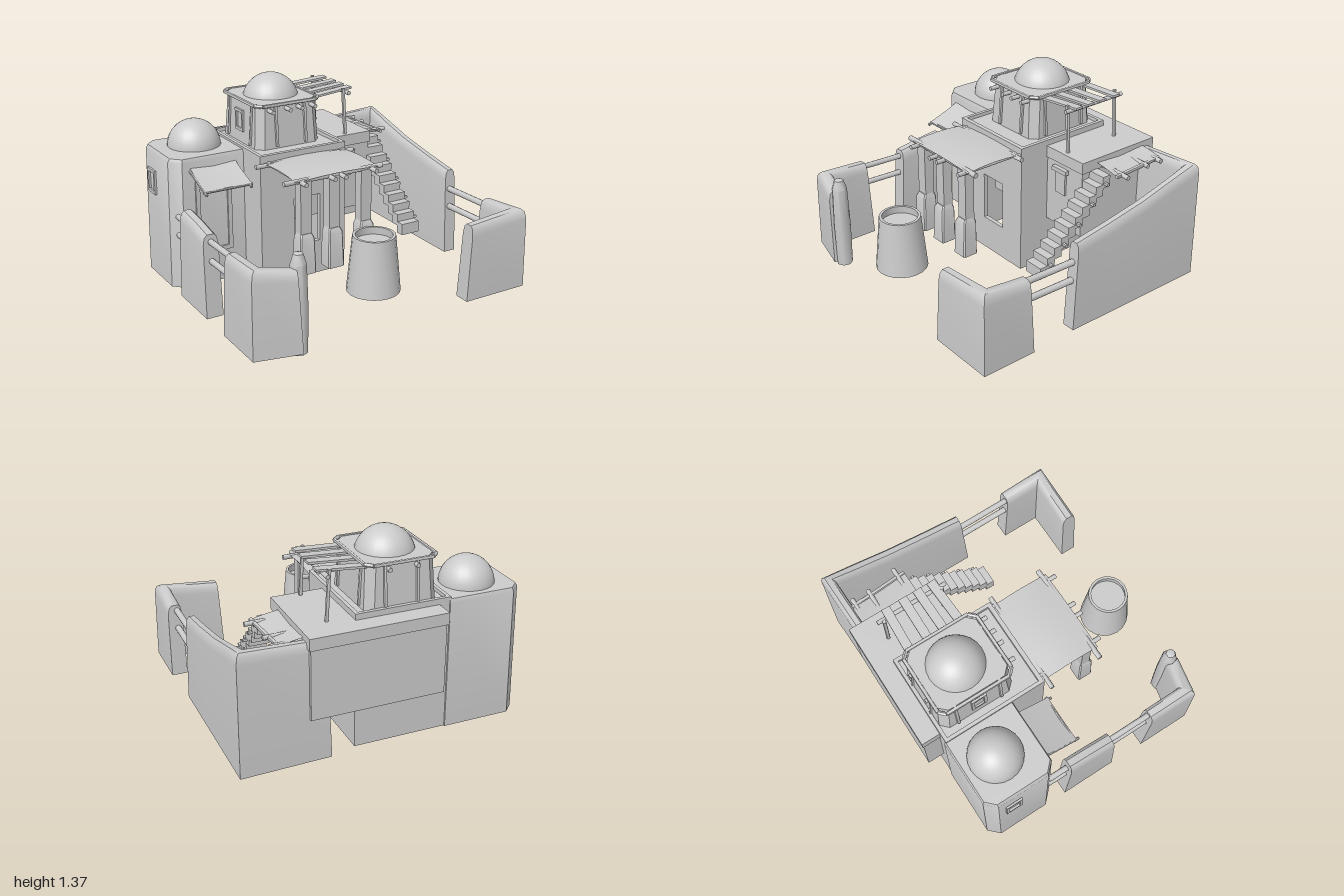
import * as THREE from 'three';
import { toCreasedNormals } from 'three/addons/utils/BufferGeometryUtils.js';

const mat = new THREE.MeshStandardMaterial({ color: 0xcccccc, side: THREE.DoubleSide });
const V = (x, y, z) => new THREE.Vector3(x, y, z);

export function createModel() {
  const root = new THREE.Group();
  const add = (name, geo, x = 0, y = 0, z = 0) => {
    const m = new THREE.Mesh(geo, mat);
    m.name = name;
    m.position.set(x, y, z);
    root.add(m);
    return m;
  };
  // Box from its minimum and maximum on each axis
  const box = (name, x0, x1, y0, y1, z0, z1) =>
    add(name, new THREE.BoxGeometry(x1 - x0, y1 - y0, z1 - z0), (x0 + x1) / 2, (y0 + y1) / 2, (z0 + z1) / 2);
  // Round log between two points
  const log = (name, a, b, r = 0.014, sides = 8) => {
    const d = b.clone().sub(a), mid = a.clone().add(b).multiplyScalar(0.5);
    const geo = toCreasedNormals(new THREE.CylinderGeometry(r, r, d.length(), sides), 0.9);
    const m = add(name, geo, mid.x, mid.y, mid.z);
    m.quaternion.setFromUnitVectors(V(0, 1, 0), d.normalize());
    return m;
  };
  // Skin between successive rings of points
  const loft = (rings, closed, capStart, capEnd, crease = 0.6) => {
    const p = [], tri = (...v) => v.forEach(q => p.push(q.x, q.y, q.z));
    const n = rings[0].length;
    for (let i = 0; i < rings.length - 1; i++) {
      for (let j = 0; j < (closed ? n : n - 1); j++) {
        const k = (j + 1) % n, A = rings[i], B = rings[i + 1];
        tri(A[j], B[k], A[k]);
        tri(A[j], B[j], B[k]);
      }
    }
    const last = rings[rings.length - 1];
    for (let j = 1; j < n - 1; j++) {
      if (capStart) tri(rings[0][0], rings[0][j], rings[0][j + 1]);
      if (capEnd) tri(last[0], last[j + 1], last[j]);
    }
    const g = new THREE.BufferGeometry();
    g.setAttribute('position', new THREE.Float32BufferAttribute(p, 3));
    return toCreasedNormals(g, crease);
  };
  // Rectangular ring with cut corners at one height
  const ring = (x0, x1, z0, z1, y, c, cr = c) => [
    [x0 + c, z0], [x1 - cr, z0], [x1, z0 + cr], [x1, z1 - cr],
    [x1 - cr, z1], [x0 + c, z1], [x0, z1 - c], [x0, z0 + c],
  ].map(([x, z]) => V(x, y, z));
  // Hollow clay wall along a path of [x, z, height], open below
  const wall = (name, path, w, y0) => {
    const pts = path.map(([x, z]) => new THREE.Vector2(x, z));
    const rings = path.map(([x, z, h], i) => {
      const d0 = i ? pts[i].clone().sub(pts[i - 1]).normalize() : null;
      const d1 = i < pts.length - 1 ? pts[i + 1].clone().sub(pts[i]).normalize() : null;
      const t = (d0 || d1).clone().add(d1 || d0).normalize();
      const k = 1 / Math.max(0.5, t.dot(d0 || d1));
      const lean = !d0 ? 0.03 : !d1 ? -0.03 : 0;
      return [[-1, y0], [-0.9, h - 0.07], [-0.75, h - 0.02], [-0.4, h], [0.4, h], [0.75, h - 0.02], [0.9, h - 0.07], [1, y0]]
        .map(([s, y]) => {
          const f = lean * (y - y0) / (h - y0);
          return V(x - t.y * s * w * k + t.x * f, y, z + t.x * s * w * k + t.y * f);
        });
    });
    return add(name, loft(rings, false, true, true, 0.75), 0, 0, 0);
  };
  const dome = (name, r, x, y, z) =>
    add(name, new THREE.SphereGeometry(r, 24, 12, 0, Math.PI * 2, 0, Math.PI / 2), x, y, z);
  // Window or door frame around an inset panel, facing +z
  const frame = (name, w, h, t) => {
    const s = new THREE.Shape([[-w, -h], [w, -h], [w, h], [-w, h]].map(([x, y]) => new THREE.Vector2(x / 2, y / 2)));
    const iw = w - t * 2, ih = h - t * 2;
    s.holes.push(new THREE.Path([[-iw, -ih], [-iw, ih], [iw, ih], [iw, -ih]].map(([x, y]) => new THREE.Vector2(x / 2, y / 2))));
    return add(name, new THREE.ExtrudeGeometry(s, { depth: 0.014, bevelEnabled: false }));
  };

  // Left house with its dome
  add('leftHouse', loft([
    ring(-0.99, -0.45, -0.8, -0.29, 0.02, 0.07, 0.001), ring(-0.975, -0.45, -0.8, -0.29, 0.9, 0.07, 0.001),
    ring(-0.96, -0.45, -0.79, -0.3, 0.925, 0.06, 0.001)], true, false, true));
  dome('leftDome', 0.182, -0.69, 0.92, -0.57);
  const sideWindow = frame('leftWindow', 0.12, 0.17, 0.022);
  sideWindow.position.set(-0.98, 0.7, -0.62);
  sideWindow.rotation.y = -Math.PI / 2;
  // Door and sloping cloth on the left house
  frame('leftDoor', 0.26, 0.52, 0.03).position.set(-0.69, 0.5, -0.292);
  add('leftAwning', loft([[0.86, -0.29], [0.82, -0.2], [0.77, -0.06]].map(([y, z]) =>
    [V(-0.85, y, z), V(-0.68, y - 0.012, z), V(-0.52, y, z)]), false));
  for (const x of [-0.85, -0.53]) log('awningRod', V(x, 0.84, -0.29), V(x, 0.75, -0.04), 0.01);
  log('awningRail', V(-0.86, 0.76, -0.07), V(-0.51, 0.76, -0.07), 0.01);

  // Middle house: front wall with a doorway, plain other walls, sunken roof
  const front = new THREE.Shape([[-0.46, 0.02], [0.19, 0.02], [0.19, 0.94], [-0.46, 0.94]].map(a => new THREE.Vector2(...a)));
  front.holes.push(new THREE.Path([[-0.21, 0.26], [-0.21, 0.6], [-0.01, 0.6], [-0.01, 0.26]].map(a => new THREE.Vector2(...a))));
  add('middleFrontWall', new THREE.ExtrudeGeometry(front, { depth: 0.03, bevelEnabled: false }), 0, 0, -0.08);
  box('middleLeftWall', -0.46, -0.435, 0.02, 0.94, -0.79, -0.08);
  box('middleRightWall', 0.165, 0.19, 0.02, 0.94, -0.79, -0.08);
  box('middleBackWall', -0.435, 0.165, 0.02, 0.94, -0.79, -0.765);
  box('middleRoof', -0.435, 0.165, 0.89, 0.915, -0.765, -0.08);

  // Raised back house with roof slab
  box('backHouse', -0.37, 0.53, 0.35, 0.83, -0.91, -0.28);
  box('backRoofSlab', -0.38, 0.54, 0.82, 0.9, -0.92, -0.27);
  box('backWindowPanel', 0.285, 0.38, 0.6, 0.78, -0.28, -0.265);
  box('backWindowLintel', 0.265, 0.4, 0.76, 0.79, -0.28, -0.25);

  // Tower with pipes, rim and dome
  add('tower', loft([
    ring(-0.385, 0.105, -0.765, -0.22, 0.9, 0.05), ring(-0.365, 0.09, -0.745, -0.24, 1.22, 0.05)], true, false, true));
  dome('towerDome', 0.195, -0.135, 1.17, -0.5);
  const rim = ring(-0.38, 0.1, -0.755, -0.225, 1.215, 0.04);
  rim.forEach((p, i) => log('towerRim', p, rim[(i + 1) % rim.length], 0.013));
  for (const x of [-0.24, -0.02]) {
    log('towerPipe', V(x, 0.93, -0.215), V(x, 1.22, -0.235), 0.012);
    log('towerPipe', V(x, 0.93, -0.765), V(x, 1.22, -0.745), 0.012);
  }
  for (const z of [-0.65, -0.33]) {
    log('towerPipe', V(0.107, 0.93, z), V(0.092, 1.22, z), 0.012);
    log('towerPipe', V(-0.387, 0.93, z), V(-0.367, 1.22, z), 0.012);
  }
  for (const x of [-0.29, -0.16, -0.07, 0.03]) log('towerBeamEnd', V(x, 1.18, -0.27), V(x, 1.18, -0.17), 0.015);
  for (const x of [-0.23, -0.04]) log('towerBeamEnd', V(x, 1.18, -0.72), V(x, 1.18, -0.78), 0.015);
  const towerWindow = frame('towerWindow', 0.11, 0.15, 0.02);
  towerWindow.position.set(-0.375, 1.07, -0.49);
  towerWindow.rotation.y = -Math.PI / 2;

  // Plank shade beside the tower
  [[-0.7, -0.67], [-0.56, -0.55], [-0.46, -0.43], [-0.35, -0.325]].forEach(([za, zb], i) => {
    const plank = box('shadePlank', 0.09, 0.41, 1.205, 1.22, (za + zb) / 2 - 0.03, (za + zb) / 2 + 0.03);
    plank.rotation.set(0, (i - 1.2) * 0.035, 0.07);
  });
  log('shadeBeam', V(0.36, 1.2, -0.77), V(0.36, 1.2, -0.27), 0.015);
  for (const z of [-0.73, -0.31]) log('shadePost', V(0.355, 0.88, z), V(0.335, 1.23, z), 0.013);

  // Porch: cloth roof, beams and pillars
  add('porchRoof', loft([-0.05, 0.06, 0.17, 0.28, 0.38].map((z, i) =>
    [0, 1, 2, 3, 4, 5, 6].map(j => V(-0.44 + j * 0.102, 0.89 + 0.012 * Math.sin(j / 6 * Math.PI) + 0.016 * Math.sin(i / 4 * Math.PI), z))), false, false, false, 1));
  log('porchBeam', V(-0.51, 0.885, -0.02), V(0.23, 0.885, -0.02), 0.016);
  log('porchBeam', V(-0.51, 0.885, 0.35), V(0.22, 0.885, 0.35), 0.018);
  for (const x of [-0.39, -0.18, -0.1, 0.13]) log('porchRafter', V(x, 0.88, -0.05), V(x, 0.88, 0.43), 0.016);
  for (const x of [-0.36, -0.15, 0.09]) {
    box('porchPillar', x - 0.04, x + 0.04, 0.5, 0.88, 0.3, 0.37);
    add('pillarBase', loft([ring(x - 0.058, x + 0.058, 0.29, 0.4, 0.26, 0.008), ring(x - 0.052, x + 0.052, 0.29, 0.39, 0.5, 0.008),
      ring(x - 0.04, x + 0.04, 0.3, 0.375, 0.53, 0.008)], true, false, true));
  }
  for (const x of [-0.4, 0.17]) log('wallBeamEnd', V(x, 0.885, -0.1), V(x, 0.885, -0.01), 0.016);

  // Stairs with side pegs
  const steps = 10, rise = 0.054, run = 0.058;
  for (let i = 0; i < steps; i++) {
    const y = 0.34 + i * rise, z = 0.18 - i * run;
    box('stairStep', 0.52, 0.66, y - 0.08, y, z - run - 0.005, z);
    if (i % 2) log('stairPeg', V(0.54, y - 0.05, z - 0.02), V(0.69, y - 0.05, z - 0.02), 0.012);
  }
  // Landing at the head of the stairs
  add('landing', loft([0.53, 0.6, 0.66, 0.71].map((x, i) => [-0.82, -0.61, -0.4].map((z, j) =>
    V(x + (j === 1 ? 0.01 : 0), 0.87 - i * 0.01 - (j === 1 ? 0.015 : 0), z))), false));
  for (const z of [-0.79, -0.67, -0.45]) log('landingBeam', V(0.52, 0.84, z), V(z === -0.45 ? 0.78 : 0.74, 0.835, z), 0.016);
  log('landingRail', V(0.69, 0.835, -0.82), V(0.72, 0.835, -0.4), 0.014);

  // Courtyard walls
  wall('rightWall', [[0.94, 0.185, 0.66], [0.94, -0.1, 0.7], [0.94, -0.4, 0.755], [0.94, -0.65, 0.82], [0.94, -0.855, 0.875], [0.385, -0.84, 0.85]], 0.045, 0.05);
  wall('frontRightWall', [[0.95, 0.52, 0.57], [0.95, 0.85, 0.6], [0.53, 0.85, 0.565]], 0.055, 0.05);
  wall('frontLeftWall', [[-0.94, 0.45, 0.575], [-0.94, 0.79, 0.59], [-0.68, 0.85, 0.56]], 0.057, 0.02);
  wall('sideLeftWall', [[-0.935, 0.2, 0.58], [-0.935, 0, 0.61], [-0.935, -0.2, 0.63]], 0.058, 0.02);
  // Rounded post ending the front left wall
  add('wallPost', toCreasedNormals(new THREE.LatheGeometry(
    [[0.056, 0], [0.06, 0.3], [0.052, 0.58], [0.032, 0.645], [0, 0.655]].map(a => new THREE.Vector2(...a)), 7), 0.9), -0.685, 0, 0.83);
  // Rails closing the wall gaps
  for (const y of [0.53, 0.4]) {
    log('rightRail', V(0.935, y, 0.56), V(0.935, y - 0.01, 0.14), 0.022);
    log('leftRail', V(-0.935, y + 0.01, 0.5), V(-0.935, y, 0.15), 0.02);
    log('leftRail', V(-0.935, y, -0.15), V(-0.935, y, -0.32), 0.02);
  }

  // Open vat in the yard
  add('vat', toCreasedNormals(new THREE.LatheGeometry(
    [[0.172, 0.23], [0.136, 0.6], [0.118, 0.6], [0.122, 0.55], [0, 0.55]].map(a => new THREE.Vector2(...a)), 20), 0.6), -0.09, 0, 0.735);

  return root;
}
